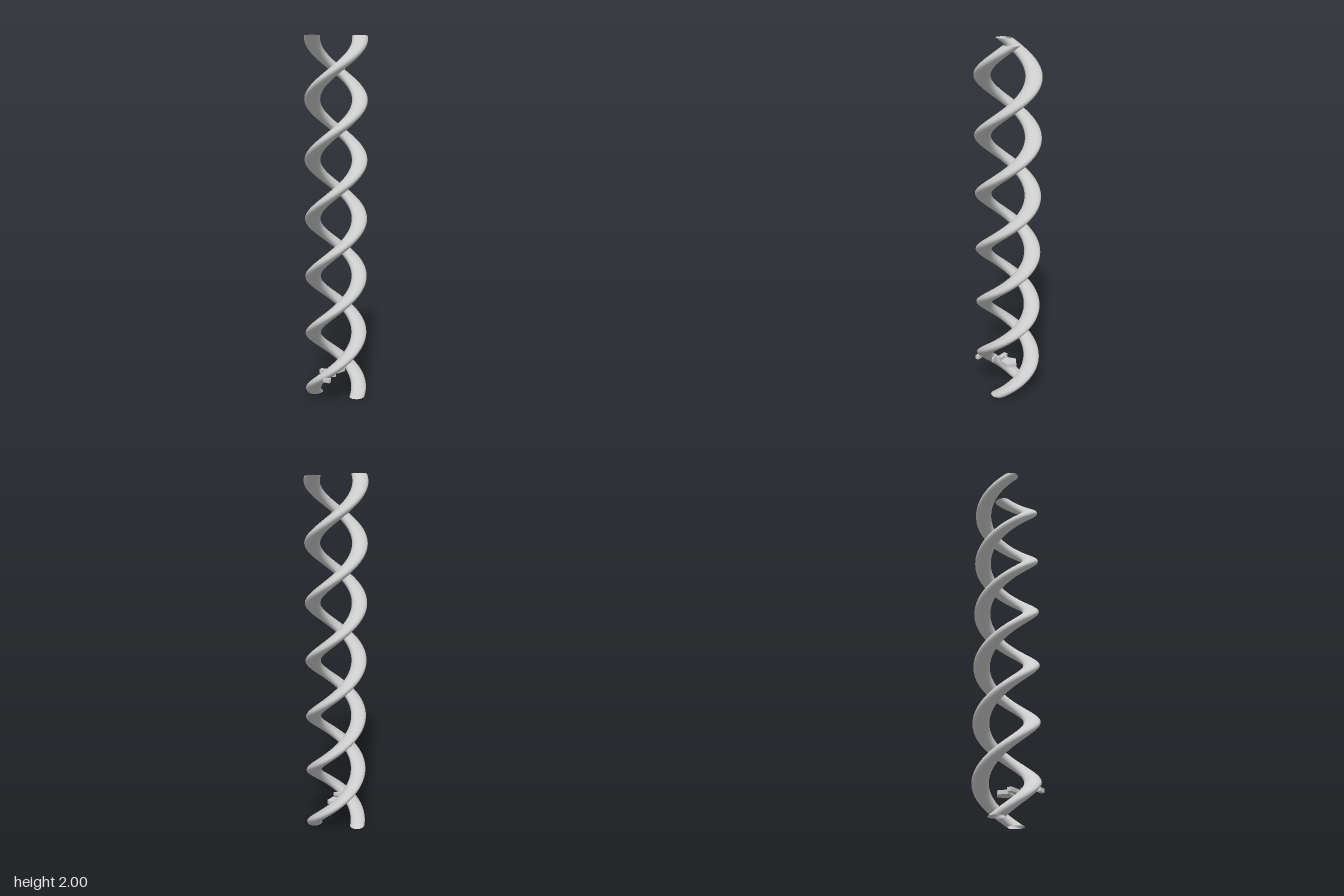
import * as THREE from 'three';
import { ParametricGeometry } from 'three/addons/geometries/ParametricGeometry.js';

const HEIGHT = 2;
const HALF_TURN = 0.324; // rise per half turn
const PHASE_Y = 1.927; // height at which the strands sit on the x axis
const SQUASH = 0.885; // x is narrower than z
const ORBIT = 0.14, RADIUS = 0.0465, CENTER_Z = -0.002;

const material = new THREE.MeshStandardMaterial({ color: 0xcccccc, side: THREE.DoubleSide });

// Open helical tube whose horizontal sections are round
function strand(offset) {
  const surface = (u, v, target) => {
    const y = v * HEIGHT;
    const turn = offset + Math.PI * (y - PHASE_Y) / HALF_TURN;
    const a = u * Math.PI * 2;
    target.set(
      SQUASH * (ORBIT * Math.cos(turn) + RADIUS * Math.cos(a)),
      y,
      CENTER_Z - ORBIT * Math.sin(turn) - RADIUS * Math.sin(a)
    );
  };
  return new THREE.Mesh(new ParametricGeometry(surface, 40, 320), material);
}

// Thin horizontal plate from [x, z] corners
function plate(name, corners) {
  const shape = new THREE.Shape(corners.map(([x, z]) => new THREE.Vector2(x, -z)));
  const geometry = new THREE.ExtrudeGeometry(shape, { depth: 0.022, bevelEnabled: false });
  geometry.rotateX(-Math.PI / 2);
  const mesh = new THREE.Mesh(geometry, material);
  mesh.name = name;
  mesh.position.y = 0.135;
  return mesh;
}

export function createModel() {
  const model = new THREE.Group();
  model.name = 'doubleHelix';

  // Two strands, half a turn apart
  ['firstStrand', 'secondStrand'].forEach((name, i) => {
    const mesh = strand(i * Math.PI);
    mesh.name = name;
    model.add(mesh);
  });

  // Chain of small plates leading from the axis into the front strand
  const chain = new THREE.Group();
  chain.name = 'plateChain';
  const pentagon = [];
  for (let i = 0; i < 5; i++) {
    const a = Math.PI / 2 + i * Math.PI * 2 / 5;
    pentagon.push([0.046 * Math.cos(a), -0.012 - 0.05 * Math.sin(a)]);
  }
  chain.add(
    plate('pentagonPlate', pentagon),
    plate('linkPlate', [[-0.03, 0.028], [-0.042, 0.045], [-0.031, 0.045], [-0.019, 0.028]]),
    plate('notchedPlate', [[-0.066, 0.047], [0.01, 0.047], [-0.015, 0.06], [0.01, 0.073], [-0.066, 0.073]]),
    plate('slantedPlate', [[0.013, 0.078], [0.045, 0.078], [0.02, 0.1], [-0.025, 0.1]]),
    plate('endPlate', [[0.015, 0.165], [0.063, 0.165], [0.063, 0.187], [0.025, 0.187]])
  );
  model.add(chain);
  return model;
}
